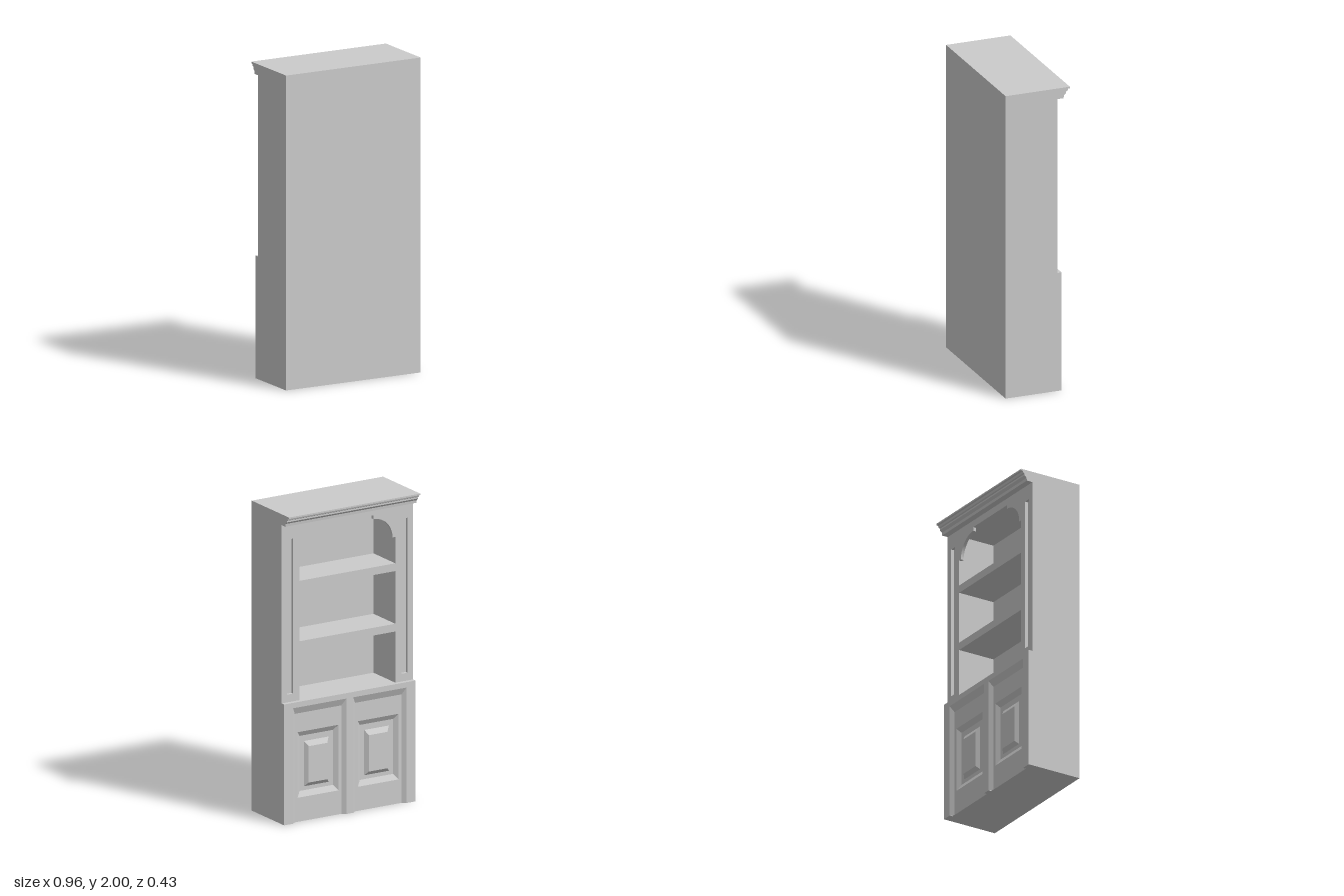
import * as THREE from 'three';

const W = 0.48;        // half width
const BACK = 0.215;    // plain wall side
const FACE = -0.132;   // shelf face
const LOW = -0.16;     // cupboard face
const LEDGE = 0.78;    // top of the cupboard
const CEIL = 1.885;

export function createModel() {
  const root = new THREE.Group();
  root.name = 'bookcase';
  const mat = new THREE.MeshStandardMaterial({ color: 0xcccccc, flatShading: true });

  const add = (name, geo, parent = root) => {
    const mesh = new THREE.Mesh(geo, mat);
    mesh.name = name;
    parent.add(mesh);
    return mesh;
  };
  // box given by its limits on each axis
  const box = (name, x0, x1, y0, y1, z0, z1) => {
    const g = new THREE.BoxGeometry(x1 - x0, y1 - y0, z1 - z0);
    g.translate((x0 + x1) / 2, (y0 + y1) / 2, (z0 + z1) / 2);
    return add(name, g);
  };

  // carcass of the open upper part
  const inner = 0.12, plate = FACE + 0.02;
  box('backPanel', -W, W, LEDGE, 2, inner, BACK);
  box('topBlock', -W, W, CEIL, 2, plate, inner);
  for (const s of [-1, 1]) {
    const [a, b] = s < 0 ? [-W, -0.35] : [0.35, W];
    box('sideWall', a, b, LEDGE, CEIL, plate, inner);
  }
  for (const y of [1.11, 1.5]) box('shelf', -0.35, 0.35, y, y + 0.05, FACE, inner);

  // face frame with arched opening and a sunk strip in each stile
  const f = new THREE.Shape();
  f.moveTo(-W, LEDGE);
  f.lineTo(-0.35, LEDGE);
  f.lineTo(-0.35, 1.72);
  f.lineTo(-0.33, 1.72);
  f.absarc(-0.19, 1.72, 0.14, Math.PI, Math.PI / 2, true);
  f.lineTo(-0.19, CEIL);
  f.lineTo(0.19, CEIL);
  f.lineTo(0.19, 1.86);
  f.absarc(0.19, 1.72, 0.14, Math.PI / 2, 0, true);
  f.lineTo(0.35, 1.72);
  f.lineTo(0.35, LEDGE);
  f.lineTo(W, LEDGE);
  f.lineTo(W, 2);
  f.lineTo(-W, 2);
  f.closePath();
  for (const c of [-0.418, 0.418]) {
    const h = new THREE.Path();
    h.moveTo(c - 0.022, 0.83);
    h.lineTo(c - 0.022, 1.83);
    h.lineTo(c + 0.022, 1.83);
    h.lineTo(c + 0.022, 0.83);
    h.closePath();
    f.holes.push(h);
  }
  const frame = new THREE.ExtrudeGeometry(f, { depth: 0.02, bevelEnabled: false, curveSegments: 12 });
  add('faceFrame', frame.translate(0, 0, FACE));

  // crown moulding: profile in (-z, y), run along x
  const crown = new THREE.Shape([
    [0.12, 1.93], [0.173, 1.93], [0.175, 1.948], [0.19, 1.962], [0.19, 1.972],
    [0.198, 1.976], [0.203, 1.988], [0.215, 1.99], [0.215, 2], [0.12, 2],
  ].map(([x, y]) => new THREE.Vector2(x, y)));
  const crownGeo = new THREE.ExtrudeGeometry(crown, { depth: 2 * W, bevelEnabled: false });
  crownGeo.translate(0, 0, -W).rotateY(Math.PI / 2);
  add('crownMoulding', crownGeo);

  // cupboard body and its front frame
  box('cupboardBody', -W, W, 0, LEDGE, -0.118, BACK);
  box('topRail', -W, W, 0.745, LEDGE, LOW, -0.118);
  box('centreStile', -0.025, 0.025, 0, 0.745, LOW, -0.118);
  box('endStile', -W, -0.415, 0, 0.745, LOW, -0.118);
  box('endStile', 0.415, W, 0, 0.745, LOW, -0.118);
  box('plinth', -0.415, 0.415, 0, 0.14, -0.139, -0.118);

  // door: nested rectangles [half width, bottom, top, z] joined by sloped bands
  const steps = [
    [0.195, 0, 0.745, LOW],
    [0.17, 0, 0.70, -0.14],
    [0.149, 0.155, 0.578, -0.14],
    [0.122, 0.19, 0.545, -0.12],
    [0.09, 0.215, 0.507, -0.12],
    [0.068, 0.24, 0.475, -0.14],
  ];
  const doorGeo = steppedPanel(steps);
  for (const x of [-0.22, 0.22]) add('door', doorGeo).position.x = x;

  return root;
}

// panel facing -z, made of rings between successive rectangles and a flat centre
function steppedPanel(steps) {
  const loops = steps.map(([w, y0, y1, z]) => [[-w, y0, z], [-w, y1, z], [w, y1, z], [w, y0, z]]);
  const pos = [];
  const quad = (a, b, c, d) => pos.push(...a, ...b, ...c, ...a, ...c, ...d);
  for (let i = 0; i + 1 < loops.length; i++) {
    for (let k = 0; k < 4; k++) {
      const n = (k + 1) % 4;
      // the outermost recess is open at the floor
      if (k === 3 && steps[i][1] === steps[i + 1][1]) continue;
      quad(loops[i][k], loops[i][n], loops[i + 1][n], loops[i + 1][k]);
    }
  }
  quad(...loops[loops.length - 1]);
  const g = new THREE.BufferGeometry();
  g.setAttribute('position', new THREE.Float32BufferAttribute(pos, 3));
  g.computeVertexNormals();
  return g;
}
